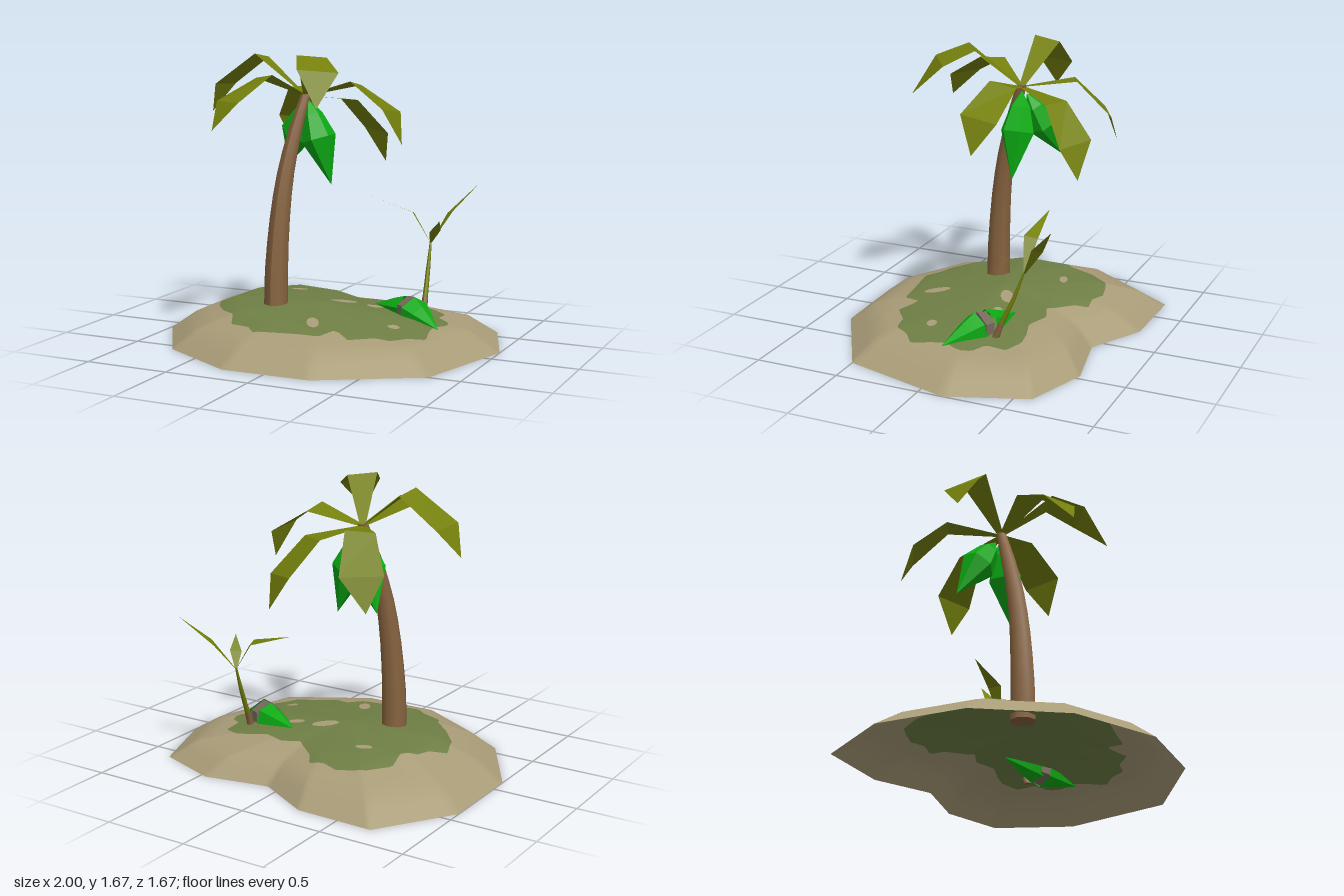
import * as THREE from 'three';

const material = (name, color) =>
  Object.assign(new THREE.MeshStandardMaterial({ color, side: THREE.DoubleSide }), { name });
const sand = material('sand', 0xa99c78);
const grass = material('grass', 0x6f7f45);
const bark = material('bark', 0x87633f);
const frond = material('frond', 0x74800c);
const husk = material('husk', 0x0cab13);
const shell = material('shell', 0x756a5c);

const V = (a) => new THREE.Vector3(...a);
const lerp = THREE.MathUtils.lerp;

function mesh(name, geometry, mat) {
  const m = new THREE.Mesh(geometry, mat);
  m.name = name;
  return m;
}

function flat(geometry) {
  const g = geometry.index ? geometry.toNonIndexed() : geometry;
  g.computeVertexNormals();
  return g;
}

function surface(positions, index) {
  const g = new THREE.BufferGeometry();
  g.setAttribute('position', new THREE.Float32BufferAttribute(positions, 3));
  g.setIndex(index);
  g.computeVertexNormals();
  return g;
}

// ---- Island: outlines as [x, z] measured from the hill centre ----
const CX = -0.05, CZ = -0.02;
const fromCentre = ([x, z]) => [x - CX, z - CZ];
const shore = [[-0.71, -0.84], [-0.25, -0.83], [0.08, -0.65], [0.465, -0.725], [0.835, -0.595], [1, -0.145],
  [0.82, 0.5], [0.27, 0.82], [-0.25, 0.83], [-0.72, 0.57], [-1, 0.11], [-1, -0.41]].map(fromCentre);
const lawn = [[-0.48, -0.53], [-0.42, -0.55], [-0.32, -0.57], [-0.22, -0.54], [-0.13, -0.55], [-0.09, -0.48],
  [0.06, -0.36], [0.16, -0.4], [0.3, -0.35], [0.4, -0.38], [0.5, -0.39], [0.6, -0.34], [0.6, -0.22], [0.68, -0.17],
  [0.7, -0.1], [0.65, 0], [0.66, 0.1], [0.69, 0.2], [0.6, 0.27], [0.55, 0.36], [0.45, 0.37], [0.33, 0.46],
  [0.22, 0.38], [0.17, 0.5], [0.05, 0.51], [-0.08, 0.53], [-0.21, 0.55], [-0.27, 0.49], [-0.4, 0.45],
  [-0.45, 0.34], [-0.56, 0.25], [-0.66, 0.13], [-0.69, 0.05], [-0.72, -0.03], [-0.65, -0.12], [-0.63, -0.21],
  [-0.56, -0.28], [-0.58, -0.4]].map(fromCentre);

// How far out (x, z) lies, where 1 is on the outline
function reach(outline, x, z) {
  for (let i = 0; i < outline.length; i++) {
    const [ax, az] = outline[i], [bx, bz] = outline[(i + 1) % outline.length];
    const d = ax * bz - az * bx;
    const a = (x * bz - z * bx) / d, b = (ax * z - az * x) / d;
    if (a >= -1e-6 && b >= -1e-6) return a + b;
  }
  return 0;
}

// Hill height at fraction s of the way to the shore point with offset (px, pz)
function hill(s, px, pz) {
  const x = CX + px * 0.56, z = CZ + pz * 0.56;
  const shoulder = 0.196 - 0.045 * x - 0.05 * Math.max(0, z) - 0.03 * Math.max(0, -z);
  if (s < 0.56) return lerp(0.228, shoulder, s / 0.56);
  if (s < 0.83) return lerp(shoulder, 0.113, (s - 0.56) / 0.27);
  return lerp(0.113, 0, (s - 0.83) / 0.17);
}

function islandBand(rowsAt) {
  const STEPS = 14, n = shore.length * STEPS, positions = [], index = [];
  let rows = 0;
  for (let k = 0; k < n; k++) {
    const i = Math.floor(k / STEPS), t = (k % STEPS) / STEPS;
    const a = shore[i], b = shore[(i + 1) % shore.length];
    const x = lerp(a[0], b[0], t), z = lerp(a[1], b[1], t);
    const list = rowsAt(1 / reach(lawn, x, z));
    rows = list.length;
    for (const s of list) positions.push(CX + x * s, hill(s, x, z), CZ + z * s);
  }
  for (let k = 0; k < n; k++) for (let j = 0; j < rows - 1; j++) {
    const a = k * rows + j, b = ((k + 1) % n) * rows + j;
    index.push(a, b + 1, a + 1, a, b, b + 1);
  }
  return surface(positions, index);
}

// Bare sandy spot draped on the grass
function sandSpot(x, z, rx, rz, turn) {
  const g = new THREE.CircleGeometry(1, 12).rotateX(-Math.PI / 2);
  g.scale(rx, 1, rz).rotateY(turn).translate(x, 0, z);
  const p = g.attributes.position;
  for (let i = 0; i < p.count; i++) {
    const dx = p.getX(i) - CX, dz = p.getZ(i) - CZ, s = reach(shore, dx, dz);
    p.setY(i, hill(s, dx / s, dz / s) + 0.004);
  }
  g.computeVertexNormals();
  return mesh('sandSpot', g, sand);
}

// Tapered bending stem through [x, y, z, radius] stations
function stem(stations, sides, segments) {
  const curve = new THREE.CatmullRomCurve3(stations.map(([x, y, z]) => new THREE.Vector3(x, y, z)));
  const g = new THREE.CylinderGeometry(1, 1, 1, sides, segments);
  const p = g.attributes.position;
  for (let i = 0; i < p.count; i++) {
    const t = p.getY(i) + 0.5, f = t * (stations.length - 1);
    const k = Math.min(Math.floor(f), stations.length - 2);
    const r = lerp(stations[k][3], stations[k + 1][3], f - k), c = curve.getPoint(t);
    p.setXYZ(i, c.x + p.getX(i) * r, c.y, c.z + p.getZ(i) * r);
  }
  g.computeVertexNormals();
  return g;
}

// Folded leaf: narrow root, a pair of points at each fold, then a tip
function leaf(root, width, pairs, tip) {
  const [l, r] = pairs[0].map(V);
  const side = r.clone().sub(l).normalize().multiplyScalar(width / 2);
  const pts = [V(root).sub(side), V(root).add(side), ...pairs.flat().map(V), V(tip)];
  const index = [];
  for (let i = 0; i < pairs.length; i++) {
    const a = i * 2;
    index.push(a, a + 1, a + 3, a, a + 3, a + 2);
  }
  const e = pairs.length * 2;
  index.push(e, e + 1, e + 2);
  return flat(surface(pts.flatMap((p) => p.toArray()), index));
}

// Faceted pod turned around the line from one end to the other
function pod(from, to, profile) {
  const a = V(from), axis = V(to).sub(a), length = axis.length();
  const g = new THREE.LatheGeometry(profile.map(([r, t]) => new THREE.Vector2(r, t * length)), 6);
  g.applyQuaternion(new THREE.Quaternion().setFromUnitVectors(new THREE.Vector3(0, 1, 0), axis.normalize()));
  return flat(g.translate(a.x, a.y, a.z));
}

export function createModel() {
  const model = new THREE.Group();
  model.name = 'palmIsland';
  const add = (...args) => model.add(mesh(...args));

  // Ground
  add('grassTop', islandBand((g) => {
    const m = Math.min(0.56, g);
    return [0, m / 2, m, g];
  }), grass);
  add('sandShore', islandBand((g) => {
    const m = Math.max(0.56, g);
    return [g, m, (m + 0.83) / 2, 0.83, 0.91, 1];
  }), sand);
  for (const s of [[0.48, 0.17, 0.035, 0.03, 0.5], [0.05, -0.11, 0.08, 0.04, 0.5], [0.06, 0.34, 0.035, 0.08, 0.5],
    [0.24, -0.13, 0.05, 0.03, 0.3], [-0.34, -0.31, 0.05, 0.025, 0.3]]) model.add(sandSpot(...s));

  // Palm
  add('palmTrunk', stem([[-0.295, 0.185, 0.098, 0.074], [-0.293, 0.42, 0.094, 0.071], [-0.28, 0.72, 0.073, 0.062],
    [-0.26, 0.98, 0.035, 0.053], [-0.228, 1.22, -0.025, 0.044], [-0.19, 1.43, -0.09, 0.03]], 8, 10), bark);
  const crown = [-0.19, 1.42, -0.09];
  const fronds = [
    [[[0.12, 1.485, -0.19], [0.12, 1.515, -0.03]], [[0.37, 1.34, -0.18], [0.35, 1.37, 0.045]], [0.43, 1.165, -0.055]],
    [[[-0.5, 1.66, -0.045], [-0.49, 1.635, -0.205]], [[-0.73, 1.48, 0.02], [-0.715, 1.47, -0.2]], [-0.8, 1.31, -0.07]],
    [[[-0.42, 1.45, -0.33], [-0.27, 1.46, -0.4]], [[-0.56, 1.26, -0.47], [-0.35, 1.25, -0.585]], [-0.51, 1.07, -0.57]],
    [[[-0.11, 1.385, -0.4], [0.035, 1.385, -0.33]], [[-0.03, 1.2, -0.58], [0.17, 1.18, -0.47]], [0.12, 1.0, -0.56]],
    [[[-0.26, 1.555, 0.2], [-0.41, 1.53, 0.11]], [[-0.35, 1.41, 0.44], [-0.545, 1.41, 0.33]], [-0.49, 1.255, 0.49]],
    [[[0.035, 1.655, 0.1], [-0.105, 1.67, 0.2]], [[0.17, 1.58, 0.235], [-0.02, 1.6, 0.37]], [0.135, 1.395, 0.45]],
  ];
  for (const [fold, end, tip] of fronds) add('palmFrond', leaf(crown, 0.03, [fold, end], tip), frond);

  // Hanging pods
  const spindle = [[0, 0], [0.06, 0.18], [0.102, 0.46], [0, 1]];
  add('hangingPod', pod([-0.18, 1.4, -0.1], [-0.03, 0.905, -0.1], spindle), husk);
  add('hangingPod', pod([-0.2, 1.38, -0.12], [-0.395, 0.985, -0.27], spindle), husk);

  // Split pod on the ground, with its shell showing between the halves
  const half = (r) => [[r, 0], [r * 0.72, 0.33], [0, 1]];
  add('splitPodHalf', pod([0.48, 0.185, -0.12], [0.685, 0.135, 0.01], half(0.1)), husk);
  add('splitPodHalf', pod([0.43, 0.19, -0.15], [0.19, 0.19, -0.23], half(0.09)), husk);
  add('splitPodShell', pod([0.48, 0.186, -0.12], [0.43, 0.19, -0.15], [[0, 0], [0.097, 0], [0.087, 1], [0, 1]]), shell);

  // Sapling
  add('saplingBase', stem([[0.5, 0.13, -0.225, 0.024], [0.499, 0.2, -0.25, 0.02], [0.497, 0.25, -0.27, 0.017]], 6, 2), bark);
  add('saplingStem', stem([[0.497, 0.25, -0.27, 0.016], [0.487, 0.4, -0.337, 0.013], [0.48, 0.56, -0.395, 0.006]], 6, 4), frond);
  const bud = [0.48, 0.55, -0.395];
  const shoots = [
    [[[0.38, 0.735, -0.35], [0.36, 0.72, -0.425]], [0.1, 0.805, -0.39]],
    [[[0.535, 0.715, -0.525], [0.585, 0.735, -0.48]], [0.695, 0.89, -0.635]],
    [[[0.56, 0.64, -0.345], [0.505, 0.63, -0.305]], [0.59, 0.71, -0.245]],
  ];
  for (const [fold, tip] of shoots) add('saplingLeaf', leaf(bud, 0.01, [fold], tip), frond);

  return model;
}
